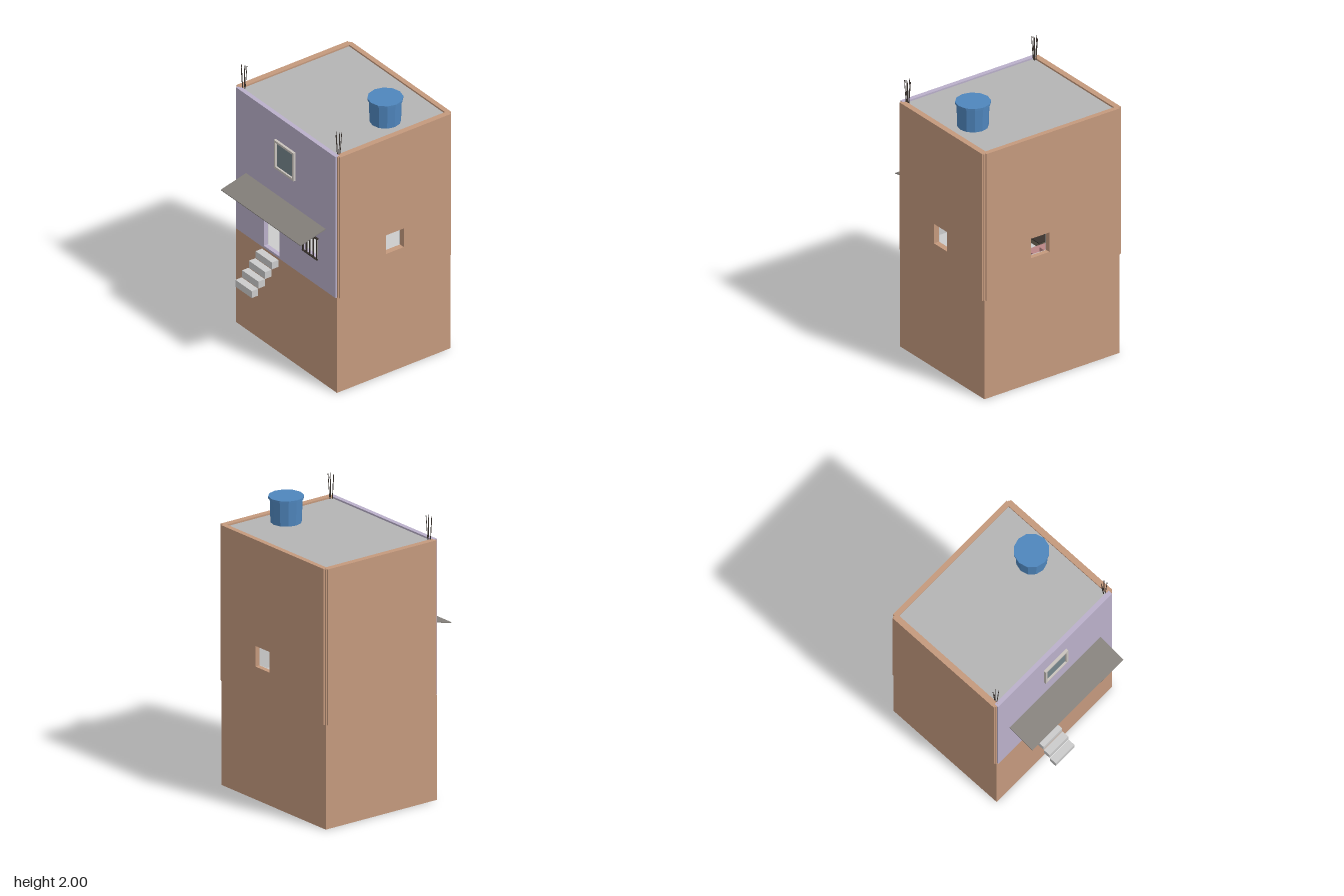
import * as THREE from 'three';

const mat = (color) => new THREE.MeshStandardMaterial({ color, flatShading: true });
const brick = mat(0xc4997d), lilac = mat(0xbab0ca), grey = mat(0xcccccc), concrete = mat(0xb4b4b4),
  blue = mat(0x4f86bd), glass = mat(0x75868c), dark = mat(0x3a332e), roofing = mat(0x84807b),
  pink = mat(0xb98585), wood = mat(0x6f6656), frameMat = mat(0xc9c3bd);

const FLOOR = 0.735, TOP = 1.83;

export function createModel() {
  const house = new THREE.Group();
  house.name = 'house';

  const add = (name, geometry, material, parent = house) => {
    const m = new THREE.Mesh(geometry, material);
    m.name = name;
    parent.add(m);
    return m;
  };
  // box given by its lower and upper corners
  const box = (name, x0, x1, y0, y1, z0, z1, material, parent) => {
    const m = add(name, new THREE.BoxGeometry(x1 - x0, y1 - y0, z1 - z0), material, parent);
    m.position.set((x0 + x1) / 2, (y0 + y1) / 2, (z0 + z1) / 2);
    return m;
  };
  // rectangle with rectangular openings, extruded along z
  const panel = (x0, x1, y0, y1, holes, depth) => {
    const rect = (P, a, b, c, d) => {
      const p = new P();
      p.moveTo(a, c); p.lineTo(b, c); p.lineTo(b, d); p.lineTo(a, d); p.closePath();
      return p;
    };
    const s = rect(THREE.Shape, x0, x1, y0, y1);
    holes.forEach((h) => s.holes.push(rect(THREE.Path, ...h)));
    return new THREE.ExtrudeGeometry(s, { depth, bevelEnabled: false });
  };
  // outer wall with a plastered inner face, turned to its side of the house
  const wall = (name, turn, outer, thick, x0, x1, holes, material) => {
    const g = new THREE.Group();
    g.name = name;
    g.rotation.y = turn;
    add(name + 'Shell', panel(x0, x1, FLOOR, TOP, holes, thick), material, g).position.z = outer - thick;
    add(name + 'Plaster', panel(x0 + 0.02, x1 - 0.02, FLOOR + 0.005, 1.8, holes, 0.005), grey, g)
      .position.z = outer - thick - 0.005;
    house.add(g);
  };

  // lower storey
  box('lowerStorey', -0.555, 0.555, 0, FLOOR, -0.58, 0.355, brick);

  // upper storey walls, floor and roof
  wall('frontWall', 0, 0.362, 0.032, -0.548, 0.548,
    [[-0.24, -0.07, 0.752, 1.12], [0.195, 0.355, 0.94, 1.1]], lilac);
  wall('backWall', Math.PI, 0.592, 0.036, -0.548, 0.548, [[-0.18, -0.03, 0.94, 1.085]], brick);
  wall('rightWall', -Math.PI / 2, 0.57, 0.042, -0.575, 0.342, [], brick);
  wall('leftWall', Math.PI / 2, 0.57, 0.042, -0.342, 0.575, [[0.04, 0.185, 0.94, 1.085]], brick);
  for (const s of [-1, 1]) {
    const x = s * 0.547;
    box('backCornerPost', x - 0.013, x + 0.013, FLOOR + 0.001, TOP - 0.002, -0.583, -0.553, brick);
    box('frontCornerPost', x - 0.013, x + 0.013, FLOOR + 0.001, TOP - 0.002, 0.325, 0.35, brick);
  }
  box('floor', -0.535, 0.535, FLOOR, 0.75, -0.565, 0.335, grey);
  box('roofSlab', -0.535, 0.535, 1.78, 1.818, -0.565, 0.335, concrete);

  // water tank with an overhanging lid
  const tank = new THREE.Group();
  tank.name = 'waterTank';
  tank.position.set(0.36, 0, -0.19);
  house.add(tank);
  add('tankBody', new THREE.CylinderGeometry(0.11, 0.105, 0.17, 12), blue, tank).position.y = 1.9;
  add('tankLid', new THREE.CylinderGeometry(0.12, 0.12, 0.015, 12), blue, tank).position.y = 1.9925;

  // bare reinforcing rods on the two front corners
  for (const s of [-1, 1]) {
    const rods = new THREE.Group();
    rods.name = 'reinforcingRods';
    for (let i = 0; i < 5; i++) {
      const a = i * Math.PI * 0.4 + 0.4, c = Math.cos(a), n = Math.sin(a);
      const path = new THREE.LineCurve3(
        new THREE.Vector3(s * 0.522 + c * 0.009, 1.81, 0.317 + n * 0.009),
        new THREE.Vector3(s * 0.522 + c * 0.021, 1.995 - (i % 2) * 0.012, 0.317 + n * 0.021));
      add('rod', new THREE.TubeGeometry(path, 1, 0.0025, 5), dark, rods);
    }
    house.add(rods);
  }

  // upper window
  add('upperWindowFrame',
    panel(-0.108, 0.108, 1.43, 1.647, [[-0.092, 0.092, 1.446, 1.631]], 0.02), frameMat).position.z = 0.36;
  box('upperWindowGlass', -0.094, 0.094, 1.444, 1.633, 0.355, 0.367, glass);

  // barred lower window
  const bars = new THREE.Group();
  bars.name = 'windowBars';
  house.add(bars);
  for (let i = 0; i < 5; i++) {
    const x = 0.198 + i * 0.0385;
    box('bar', x - 0.003, x + 0.003, 0.94, 1.1, 0.364, 0.372, dark, bars);
  }
  box('topRail', 0.19, 0.36, 1.097, 1.107, 0.36, 0.376, dark, bars);
  box('bottomRail', 0.192, 0.358, 0.936, 0.942, 0.36, 0.374, dark, bars);

  // sloping awning over the door
  const awning = add('awning', new THREE.BoxGeometry(0.875, 0.007, 0.218), roofing);
  awning.position.set(0, 1.19, 0.463);
  awning.rotation.x = Math.atan2(0.052, 0.21);

  // front steps
  for (let i = 0; i < 4; i++) {
    const y = 0.52 + i * 0.0537, z = 0.543 - i * 0.0555;
    box('step', -0.242, -0.062, y, y + 0.053, z, z + 0.053, grey);
  }

  // furniture inside the room
  box('sofaBack', -0.4, 0.02, 0.75, 0.92, -0.54, -0.47, pink);
  box('sofaSeat', -0.4, 0.02, 0.75, 0.84, -0.47, -0.32, pink);
  box('lowTable', -0.4, -0.165, 0.75, 0.81, -0.25, -0.12, wood);
  box('tableTop', -0.41, -0.13, 0.81, 0.817, -0.26, -0.11, dark);

  return house;
}
